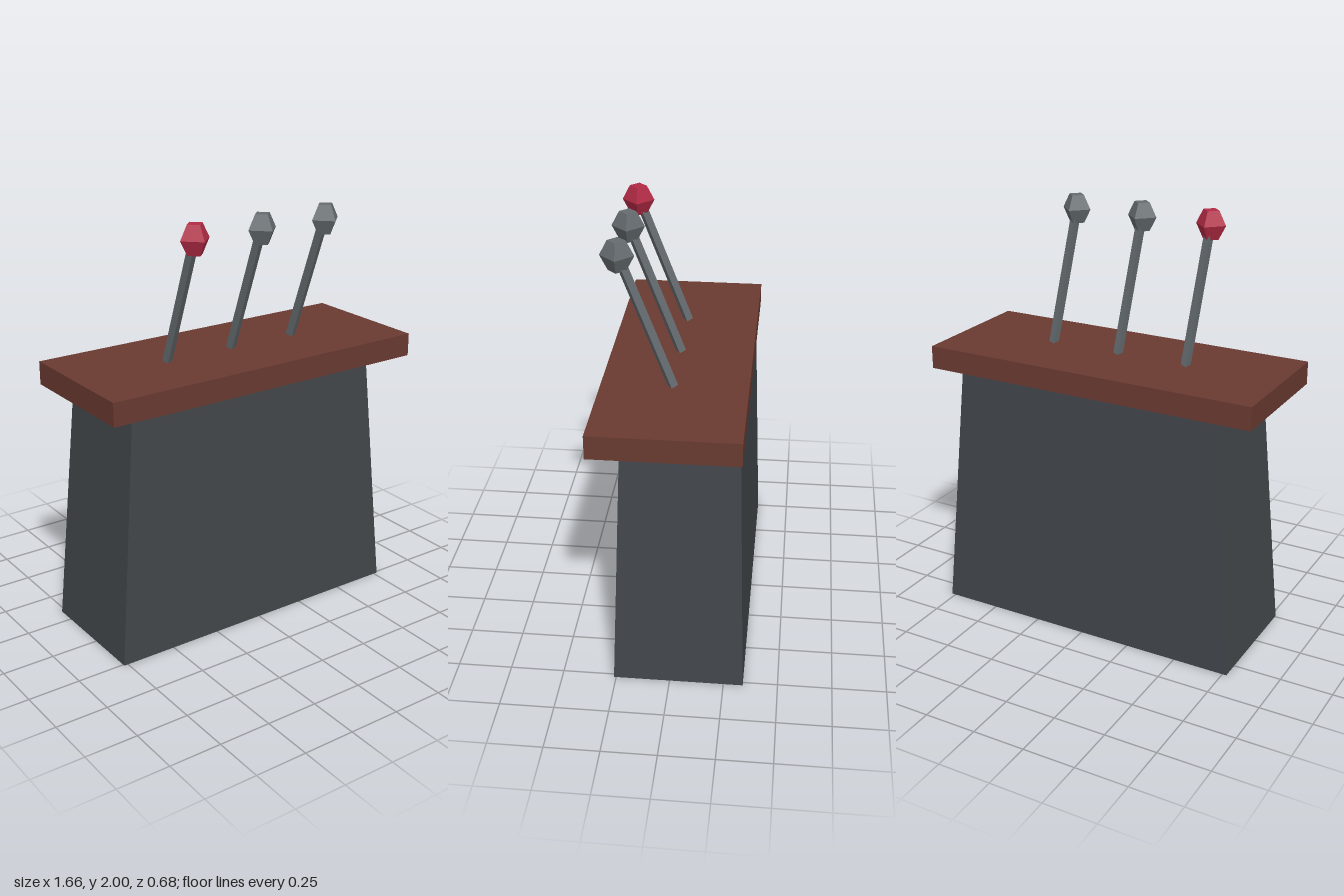
import * as THREE from 'three';

function mat(name, color) {
  const m = new THREE.MeshStandardMaterial({ color, flatShading: true });
  m.name = name;
  return m;
}

function part(name, geometry, material, x, y, z) {
  const mesh = new THREE.Mesh(geometry, material);
  mesh.name = name;
  mesh.position.set(x, y, z);
  return mesh;
}

export function createModel() {
  const group = new THREE.Group();
  group.name = 'leverConsole';
  const slate = mat('slate', 0x41464a);
  const brown = mat('brown', 0x693a31);
  const grey = mat('grey', 0x656c70);
  const red = mat('red', 0xb32b45);

  // Tapered base: a box whose top is drawn in
  const baseGeo = new THREE.BoxGeometry(1.54, 1.215, 0.6);
  const p = baseGeo.attributes.position;
  for (let i = 0; i < p.count; i++) {
    if (p.getY(i) > 0) {
      p.setX(i, Math.sign(p.getX(i)) * 0.665);
      p.setZ(i, Math.sign(p.getZ(i)) * 0.26);
    }
  }
  baseGeo.computeVertexNormals();
  group.add(part('base', baseGeo, slate, 0, 0.6075, -0.04));

  // Overhanging top slab
  group.add(part('topSlab', new THREE.BoxGeometry(1.656, 0.11, 0.66), brown, 0, 1.27, 0.014));

  // Three-sided rods leaning forward, each with a four-sided faceted knob
  const foot = new THREE.Vector3(0, 1.3, 0.015);
  const head = new THREE.Vector3(0, 1.933, 0.257);
  const rodLength = foot.distanceTo(head);
  const lean = Math.atan2(head.z - foot.z, head.y - foot.y);
  const rodGeo = new THREE.CylinderGeometry(0.0265, 0.0265, rodLength, 3, 1, false, Math.PI / 2);
  const knobGeo = new THREE.LatheGeometry(
    [[0, -0.067], [0.04, -0.067], [0.075, 0], [0.04, 0.067], [0, 0.067]]
      .map(([r, y]) => new THREE.Vector2(r, y)), 4);

  [['right', -0.356], ['middle', -0.002], ['left', 0.352]].forEach(([side, x]) => {
    const lever = new THREE.Group();
    lever.name = side + 'Lever';
    const rod = part('rod', rodGeo, grey, 0, (foot.y + head.y) / 2, (foot.z + head.z) / 2);
    rod.rotation.x = lean;
    lever.add(rod, part('knob', knobGeo, side === 'right' ? red : grey, 0, head.y, head.z));
    lever.position.x = x;
    group.add(lever);
  });

  return group;
}
